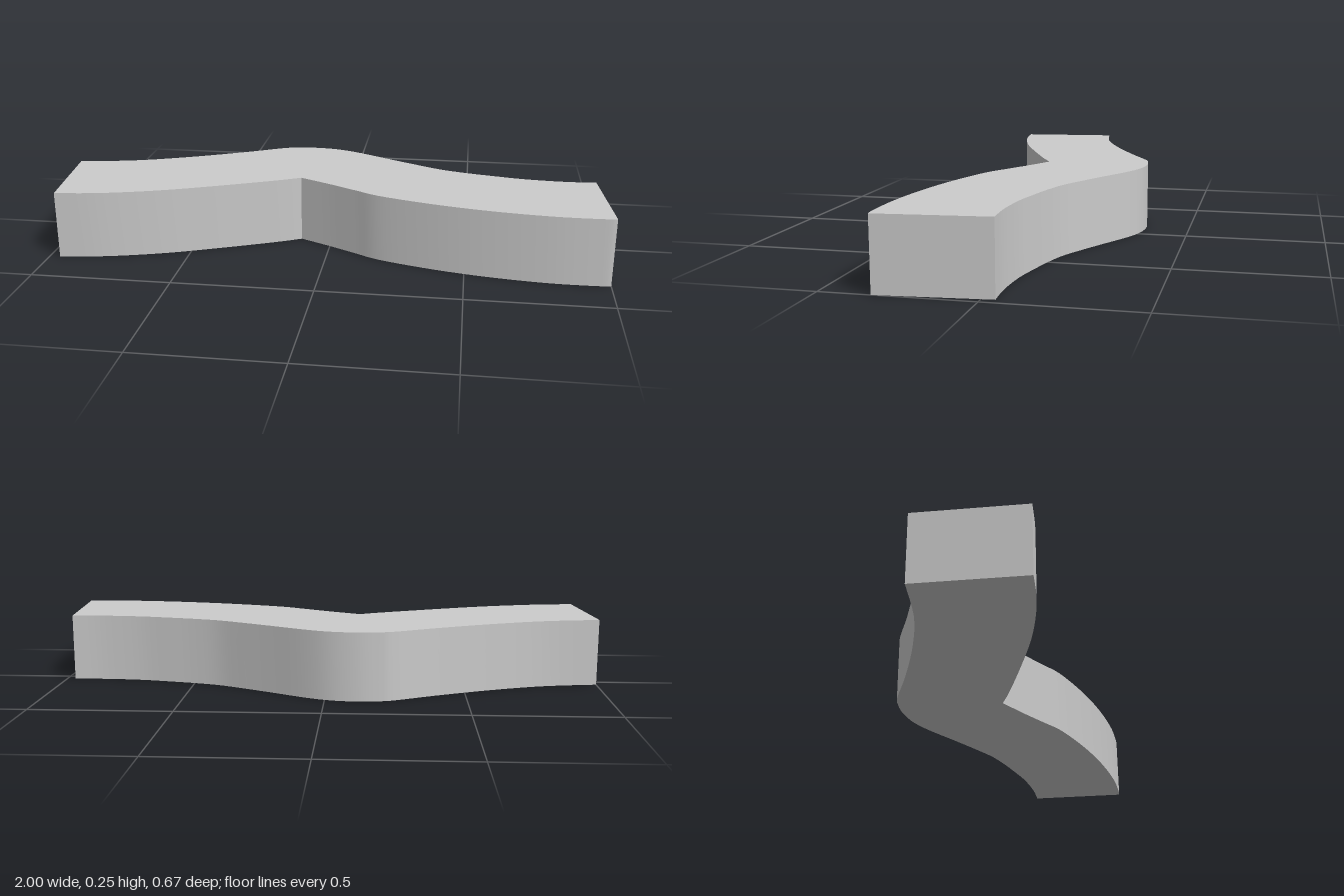
import * as THREE from 'three';
import { toCreasedNormals } from 'three/addons/utils/BufferGeometryUtils.js';

const HEIGHT = 0.245;

// Plan-view edges as [x, z]
const backEdge = [
  [-1, -0.04], [-0.8, -0.075], [-0.6, -0.145], [-0.4, -0.235], [-0.25, -0.312], [-0.19, -0.33],
  [-0.11, -0.337], [-0.02, -0.325], [0.07, -0.29], [0.2, -0.22], [0.3, -0.168], [0.4, -0.12],
  [0.5, -0.09], [0.6, -0.068], [0.7, -0.049], [0.8, -0.04], [0.88, -0.038], [0.968, -0.043],
];
const frontLeftEdge = [
  [1, 0.329], [0.96, 0.333], [0.8, 0.332], [0.6, 0.31], [0.4, 0.27],
  [0.2, 0.21], [0.1, 0.158], [0, 0.103], [-0.115, 0.045],
];
const frontRightEdge = [
  [-0.115, 0.045], [-0.2, 0.088], [-0.4, 0.175], [-0.6, 0.253], [-0.8, 0.308], [-0.962, 0.331],
];

const toPlan = ([x, z]) => new THREE.Vector2(x, -z);

export function createModel() {
  const group = new THREE.Group();
  group.name = 'curvedBar';

  // Outline: smooth back, sharp notch in the front, straight ends
  const shape = new THREE.Shape();
  shape.moveTo(...toPlan(backEdge[0]).toArray());
  for (const edge of [backEdge, frontLeftEdge, frontRightEdge]) {
    const [first, ...rest] = edge.map(toPlan);
    if (!shape.currentPoint.equals(first)) shape.lineTo(first.x, first.y);
    shape.splineThru(rest);
  }
  shape.closePath();

  // Upright slab with smooth curved walls and sharp corners
  let geometry = new THREE.ExtrudeGeometry(shape, { depth: HEIGHT, bevelEnabled: false, curveSegments: 4 });
  geometry.rotateX(-Math.PI / 2);
  geometry = toCreasedNormals(geometry, 0.5);

  const bar = new THREE.Mesh(geometry, new THREE.MeshStandardMaterial({ color: 0xcccccc }));
  bar.name = 'bar';
  group.add(bar);
  return group;
}
